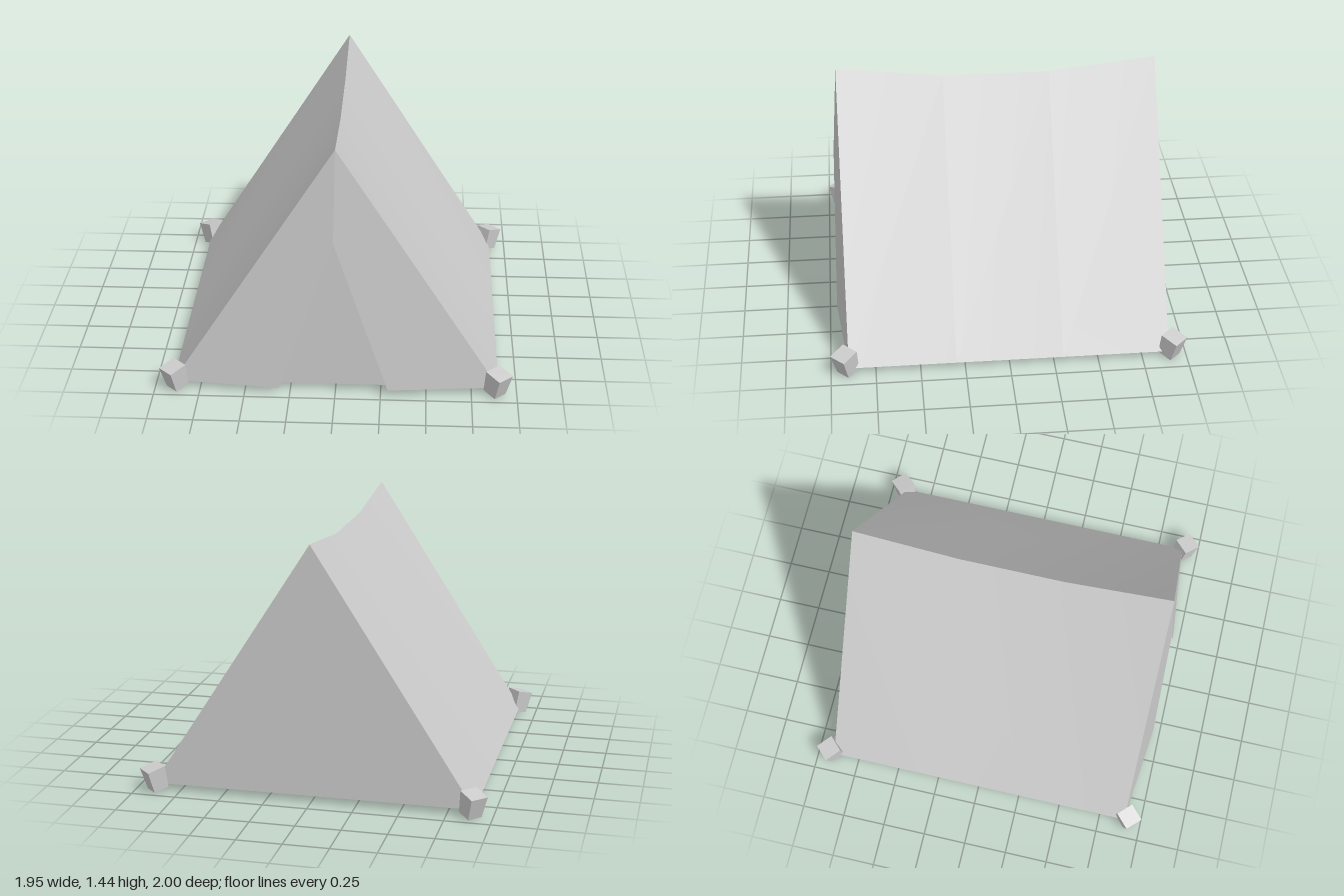
import * as THREE from 'three';

const W = 0.9, D = 0.9, BASE = 0.035, PEAK = 1.44, SAG = 1.37;

const cloth = new THREE.MeshStandardMaterial({ color: 0xcccccc, side: THREE.DoubleSide });
const solid = new THREE.MeshStandardMaterial({ color: 0xcccccc, flatShading: true });

// Thin sheet from a few corner points and triangle indices
function sheet(name, points, index) {
  const geo = new THREE.BufferGeometry();
  geo.setAttribute('position', new THREE.Float32BufferAttribute(points.flat(), 3));
  geo.setIndex(index);
  geo.computeVertexNormals();
  const mesh = new THREE.Mesh(geo, cloth);
  mesh.name = name;
  return mesh;
}

// Sloping roof side with a sagging ridge, side = +1 left, -1 right
function roofPanel(side) {
  const points = [], index = [];
  [[-D, PEAK], [-0.3, SAG], [0.3, SAG], [D, PEAK]].forEach(([z, ridge], i) => {
    points.push([side * W, BASE, z], [0, ridge, z]);
    if (i === 0) return;
    const a = 2 * i - 2, b = a + 1, c = a + 2, d = a + 3;
    index.push(...(side > 0 ? [a, b, c, b, d, c] : [a, c, b, b, c, d]));
  });
  return sheet(side > 0 ? 'leftRoof' : 'rightRoof', points, index);
}

// Flat triangular end wall
function endWall(name, s) {
  return sheet(name, [[-s * W, BASE, s * D], [s * W, BASE, s * D], [0, PEAK, s * D]], [0, 1, 2]);
}

// Door flap bulging forward from the front wall
function doorFlap(side) {
  const points = [
    [0, PEAK, D], [side * W, BASE, D],
    [side * 0.3 - 0.01, BASE, 0.96], [-0.01, 0.915, 0.935],
  ];
  return sheet(side > 0 ? 'leftDoorFlap' : 'rightDoorFlap', points,
    side > 0 ? [0, 2, 1, 0, 3, 2] : [0, 1, 2, 0, 2, 3]);
}

// Tapered square peg, turned to the diagonal and leaning outward
function peg(sx, sz) {
  const mesh = new THREE.Mesh(new THREE.CylinderGeometry(0.075, 0.062, 0.13, 4), solid);
  mesh.name = (sz > 0 ? 'front' : 'back') + (sx > 0 ? 'Left' : 'Right') + 'Peg';
  mesh.position.set(sx * 0.889, 0.073, sz * 0.915);
  mesh.quaternion.setFromAxisAngle(new THREE.Vector3(sz, 0, -sx).normalize(), 0.245);
  return mesh;
}

export function createModel() {
  const tent = new THREE.Group();
  tent.name = 'tent';
  tent.add(endWall('frontWall', 1), endWall('backWall', -1));
  for (const side of [1, -1]) {
    tent.add(roofPanel(side), doorFlap(side), peg(side, 1), peg(side, -1));
  }
  return tent;
}
